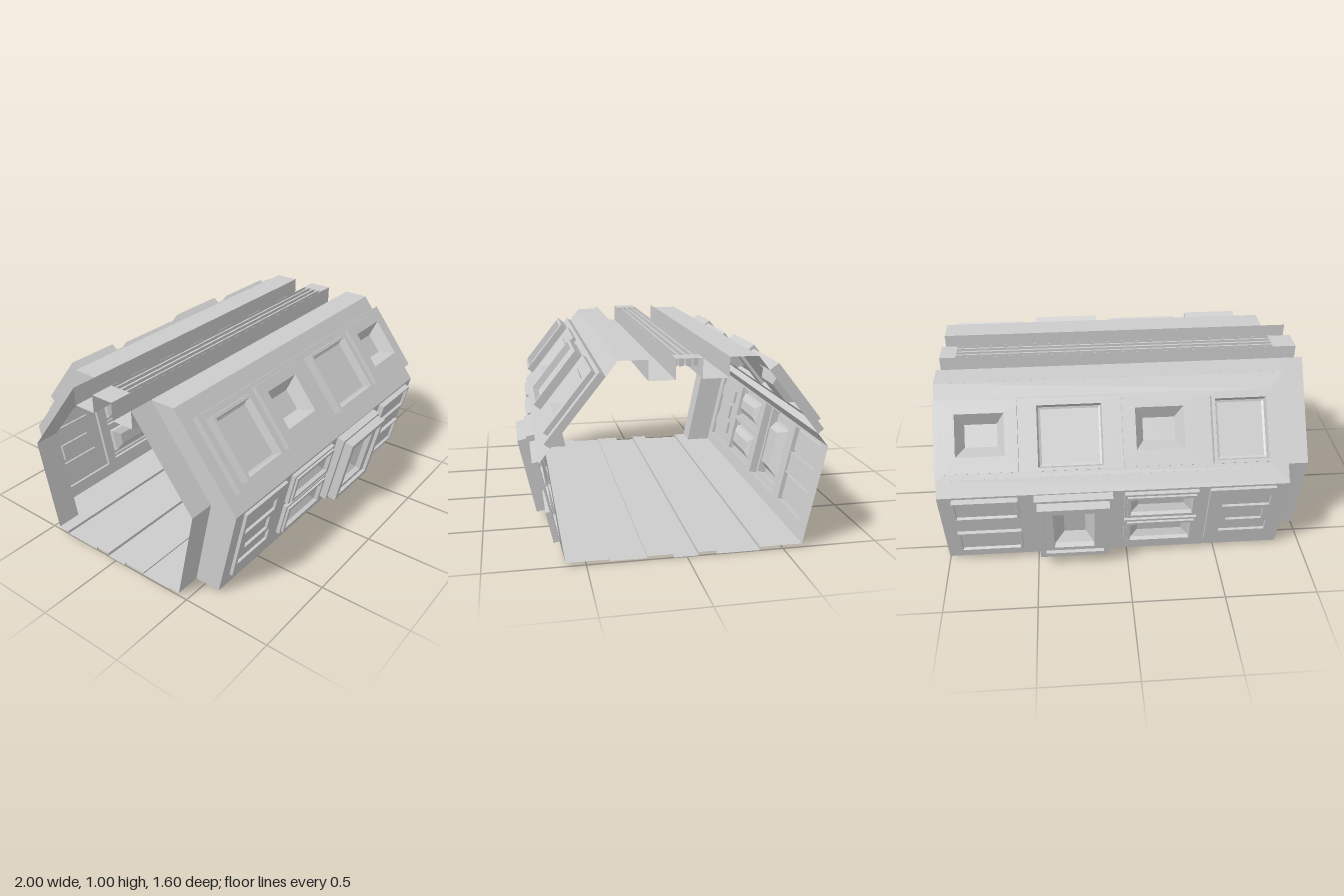
import * as THREE from 'three';

const mat = new THREE.MeshStandardMaterial({ color: 0xcccccc, side: THREE.DoubleSide });
const FRAME_X = -0.86;

function mesh(geo, name) {
  const m = new THREE.Mesh(geo, mat);
  m.name = name;
  return m;
}

function quadMesh(quads, name) {
  const pos = [];
  for (const [a, b, c, d] of quads) pos.push(...a, ...b, ...c, ...a, ...c, ...d);
  const geo = new THREE.BufferGeometry();
  geo.setAttribute('position', new THREE.Float32BufferAttribute(pos, 3));
  geo.computeVertexNormals();
  return mesh(geo, name);
}

// Stepped rectangular shell: each step is [x0, x1, v0, v1, height]
function stepped(name, steps, cap = true) {
  const rings = steps.map(([x0, x1, v0, v1, n]) => [[x0, v0, n], [x1, v0, n], [x1, v1, n], [x0, v1, n]]);
  const quads = [];
  for (let r = 0; r + 1 < rings.length; r++)
    for (let i = 0; i < 4; i++) {
      const j = (i + 1) % 4;
      quads.push([rings[r][i], rings[r][j], rings[r + 1][j], rings[r + 1][i]]);
    }
  if (cap) quads.push(rings[rings.length - 1]);
  return quadMesh(quads, name);
}

// Flat sheet with rectangular holes
function sheet(name, outline, holes, height = 0) {
  const shape = new THREE.Shape(outline.map(p => new THREE.Vector2(...p)));
  for (const [x0, x1, v0, v1] of holes)
    shape.holes.push(new THREE.Path([[x0, v0], [x0, v1], [x1, v1], [x1, v0]].map(p => new THREE.Vector2(...p))));
  return mesh(new THREE.ShapeGeometry(shape).translate(0, 0, height), name);
}

// Folded sheet running along x, profile given as [z, y]
function ribbon(name, pts, x0, x1) {
  const quads = [];
  for (let i = 0; i + 1 < pts.length; i++) {
    const [za, ya] = pts[i], [zb, yb] = pts[i + 1];
    quads.push([[x0, ya, za], [x0, yb, zb], [x1, yb, zb], [x1, ya, za]]);
  }
  return quadMesh(quads, name);
}

// Group whose local x, y, z are along the corridor, up the wall, and outward
function wallFrame(name, origin, up) {
  const g = new THREE.Group();
  g.name = name;
  const x = new THREE.Vector3(1, 0, 0), v = new THREE.Vector3(...up).normalize();
  g.quaternion.setFromRotationMatrix(new THREE.Matrix4().makeBasis(x, v, x.clone().cross(v)));
  g.position.set(...origin);
  return g;
}

const rect = (x0, x1, v0, v1) => [[x0, v0], [x1, v0], [x1, v1], [x0, v1]];
const inset = ([x0, x1, v0, v1], d, n) => [x0 + d, x1 - d, v0 + d, v1 - d, n];

function upperWall() {
  const g = wallFrame('upperWall', [0, 0.53, 0.71], [0, 0.47, -0.375]);
  const top = 0.601, p0 = 0.09, p1 = 0.51, h = 0.037, px = -0.79;
  g.add(sheet('upperWallSkin', [[FRAME_X, 0], [1, 0], [1, p0], [px, p0], [px, p1], [1, p1], [1, top], [FRAME_X, top]], []));
  g.add(stepped('raisedPlateEdge', [[px, 1, p0, p1, 0], [px, 1, p0, p1, h]], false));
  const holes = [];
  // Large framed windows
  for (const x of [-0.6, 0.295]) {
    const w = x < 0 ? 0.152 : 0.185;
    const o = [x - w, x + w, 0.12, 0.475];
    holes.push(o);
    g.add(stepped('largeWindow', [[...o, h], [...o, 0.09], inset(o, 0.017, 0.09), inset(o, 0.024, 0.055), inset(o, 0.035, 0.05)]));
  }
  // Small deep windows
  for (const x of [-0.175, 0.76]) {
    const o = [x - 0.195, x + 0.195, 0.122, 0.49];
    holes.push(o);
    g.add(stepped('smallWindow', [[...o, h], [...o, 0.062], [x - 0.127, x + 0.127, 0.207, 0.43, 0.062],
      [x - 0.085, x + 0.085, 0.26, 0.38, -0.01]]));
  }
  g.add(sheet('raisedPlate', rect(px, 1, p0, p1), holes, h));
  return g;
}

function lowerWall() {
  const g = wallFrame('lowerWall', [0, 0.02, 0.6], [0, 0.51, 0.11]);
  const holes = [];
  // Thin plate with three slots
  const plate = [-0.79, -0.435, 0.07, 0.508];
  const slots = [[-0.77, -0.51, 0.145, 0.222], [-0.74, -0.54, 0.245, 0.335], [-0.77, -0.51, 0.365, 0.443]];
  holes.push(plate);
  g.add(stepped('slotPlateEdge', [[...plate, 0], [...plate, 0.018]], false));
  g.add(sheet('slotPlate', rect(...plate), slots, 0.018));
  for (const s of slots) g.add(stepped('slot', [[...s, 0.018], [...s, 0.003]]));
  // Pair of stacked trays
  for (const [v0, v1] of [[0.085, 0.29], [0.313, 0.508]]) {
    const o = [-0.375, 0.02, v0, v1];
    holes.push(o);
    g.add(stepped('tray', [[...o, 0], [...o, 0.022], inset(o, 0.014, 0.022), inset(o, 0.014, 0.034),
      inset(o, 0.032, 0.034), inset(o, 0.036, 0.012), [-0.3, -0.055, v0 + 0.07, v1 - 0.07, -0.012]]));
  }
  // Deep projecting port
  const port = [0.083, 0.497, 0.07, 0.515];
  holes.push(port);
  g.add(stepped('projectingPort', [[...port, 0], [...port, 0.045], [0.103, 0.482, 0.085, 0.5, 0.045],
    [0.103, 0.482, 0.085, 0.5, 0.095], [0.135, 0.452, 0.115, 0.47, 0.095], [0.135, 0.452, 0.115, 0.47, 0.075],
    [0.185, 0.405, 0.14, 0.435, 0.075], [0.19, 0.4, 0.145, 0.43, 0.045], [0.232, 0.348, 0.19, 0.4, 0]]));
  // Column of three covers, the middle one plain
  [[0.085, 0.247, 0.032], [0.247, 0.362, 0.012], [0.362, 0.508, 0.032]].forEach(([v0, v1, n], i) => {
    const o = [0.58, 0.925, v0, v1];
    holes.push(o);
    const steps = [[...o, 0], [...o, n]];
    if (i !== 1) steps.push(inset(o, 0.013, n), inset(o, 0.016, n - 0.016));
    g.add(stepped('cover', steps));
  });
  g.add(sheet('lowerWallSkin', rect(FRAME_X, 1, 0, 0.5217), holes));
  return g;
}

function side() {
  const g = new THREE.Group();
  g.add(upperWall(), lowerWall());
  g.add(ribbon('roofEdge', [[0.335, 1], [0.195, 1]], FRAME_X, 1));
  g.add(ribbon('roofChannel', [[0.195, 1], [0.195, 0.9], [0.065, 0.9], [0.065, 1]], -1, 1));
  g.add(ribbon('floorMargin', [[0.45, 0.02], [0.6, 0.02]], FRAME_X, 1));
  // End flange with a collar projecting from its inner edge
  const inner = [[0.195, 1], [0.555, 0.54], [0.45, 0.02]];
  const outer = [[0.6, 0.02], [0.71, 0.53], [0.335, 1]];
  const flange = sheet('endFlange', [...inner, ...outer], []);
  flange.rotation.y = -Math.PI / 2;
  flange.position.x = FRAME_X;
  g.add(flange, ribbon('endCollar', [...inner].reverse(), -1, FRAME_X));
  return g;
}

export function createModel() {
  const model = new THREE.Group();
  model.name = 'corridorSection';
  const front = side(), back = side();
  front.name = 'frontSide';
  back.name = 'backSide';
  back.scale.z = -1;
  model.add(front, back);

  // Roof ridge with four long grooves
  const ridge = wallFrame('roofRidge', [0, 1, 0], [0, 0, -1]);
  const grooves = [-0.052, -0.018, 0.018, 0.052].map(v => [-0.87, 0.91, v - 0.012, v + 0.012]);
  ridge.add(sheet('ridgeTop', rect(-1, 1, -0.065, 0.065), grooves));
  for (const r of grooves) ridge.add(stepped('ridgeGroove', [[...r, 0], [...r, -0.055]]));
  model.add(ridge);

  // Floor with sunken runs
  const floor = [[-0.45, 0.02]];
  for (const [a, b, y] of [[-0.38, -0.15, 0.003], [-0.06, 0.065, 0.002], [0.2, 0.385, 0.012]])
    floor.push([a, 0.02], [a, y], [b, y], [b, 0.02]);
  floor.push([0.45, 0.02]);
  model.add(ribbon('floor', floor, -1, 1));
  return model;
}
